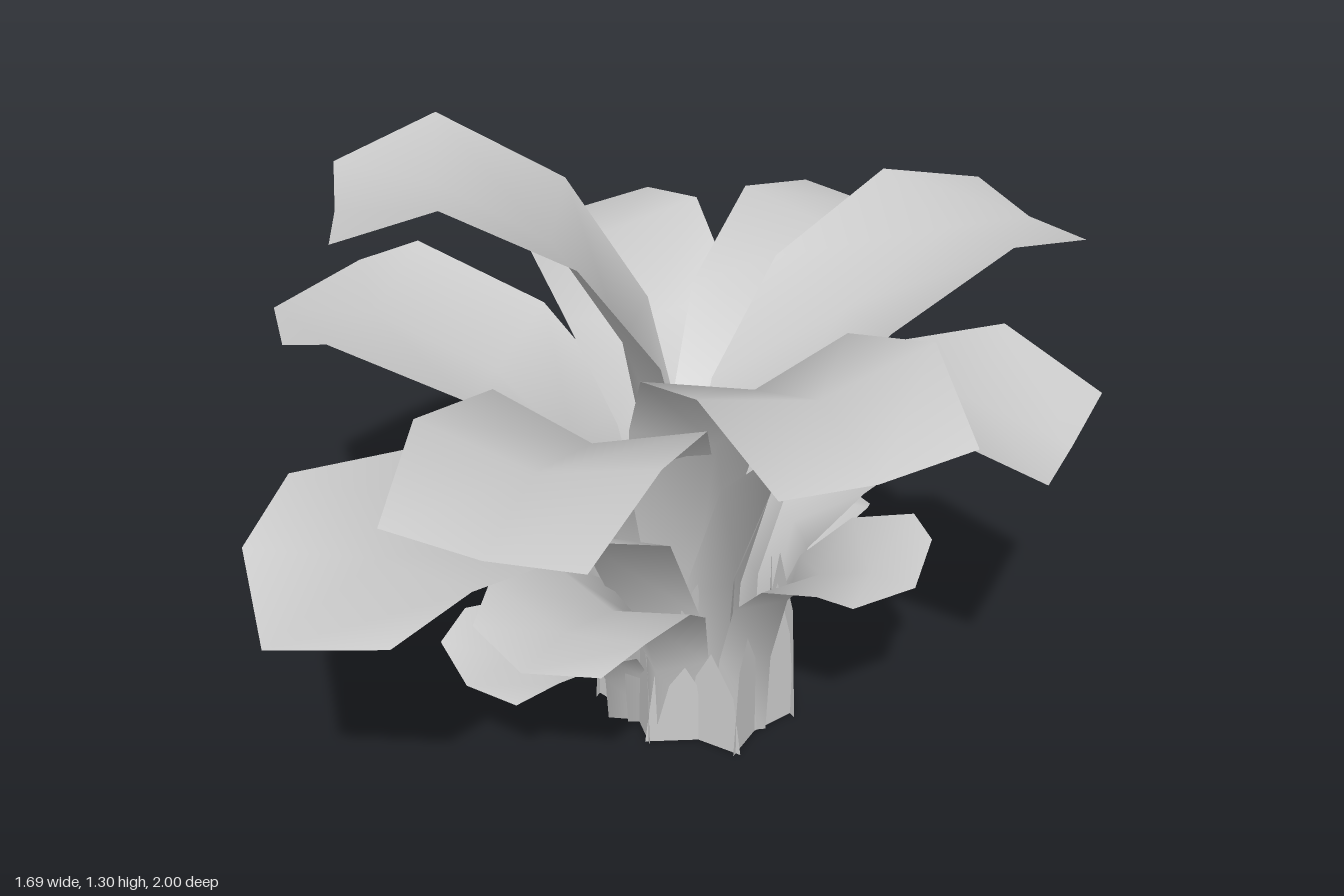
import * as THREE from 'three';

const material = new THREE.MeshStandardMaterial({ color: 0xcccccc, side: THREE.DoubleSide });

// Rows along a leaf: outward travel, height, width and edge lift, all as fractions
const ROWS = [
  [0.00, 0.00, 0.50, 1.5],
  [0.02, 0.38, 0.48, 1.3],
  [0.13, 0.70, 0.68, 1.0],
  [0.35, 0.89, 0.92, 0.85],
  [0.70, 1.00, 1.00, 0.75],
  [1.00, 1.00, 0.82, 0.3],
];

// One leaf: a folded stalk rising from the ground, arching into a broad blunt blade
function makeLeaf(name, [rootX, rootZ, tipX, tipZ, peakY, tipY, width, point]) {
  const out = new THREE.Vector3(tipX - rootX, 0, tipZ - rootZ);
  const reach = out.length();
  out.normalize();
  const up = new THREE.Vector3(0, 1, 0);
  const side = new THREE.Vector3().crossVectors(up, out);
  const path = ROWS.map(([t, h], i) => new THREE.Vector3(rootX, 0, rootZ)
    .addScaledVector(out, t * reach)
    .setY(i === ROWS.length - 1 ? tipY : h * peakY));

  const positions = [], indices = [];
  path.forEach((p, i) => {
    const tangent = path[Math.min(i + 1, path.length - 1)].clone()
      .sub(path[Math.max(i - 1, 0)]).normalize();
    const normal = new THREE.Vector3().crossVectors(tangent, side);
    const last = i === path.length - 1;
    for (const u of [-1, 0, 1]) {
      const v = p.clone().addScaledVector(side, u * width * ROWS[i][2] / 2);
      v.addScaledVector(normal, Math.abs(u) * ROWS[i][3] * width * 0.16);
      if (last && u !== 0) v.addScaledVector(tangent, -point);
      v.y = i === 0 ? 0 : v.y;
      positions.push(v.x, v.y, v.z);
    }
    if (last) return;
    for (let k = 0; k < 2; k++) {
      const a = i * 3 + k;
      indices.push(a, a + 1, a + 3, a + 1, a + 4, a + 3);
    }
  });

  const geometry = new THREE.BufferGeometry();
  geometry.setAttribute('position', new THREE.Float32BufferAttribute(positions, 3));
  geometry.setIndex(indices);
  geometry.computeVertexNormals();
  const mesh = new THREE.Mesh(geometry, material);
  mesh.name = name;
  return mesh;
}

// Leaf tiers: [rootX, rootZ, tipX, tipZ, peakY, tipY, width, tip point]
const TIERS = {
  crownLeaf: [
    [-0.05, -0.06, -0.46, 0.42, 1.25, 1.20, 0.42, 0],
    [0.11, 0.01, 0.78, 0.28, 1.13, 1.09, 0.46, 0],
    [0.00, 0.05, 0.32, 0.76, 0.98, 0.95, 0.47, 0],
    [0.09, -0.13, 0.25, -0.87, 1.00, 0.96, 0.42, 0],
  ],
  middleLeaf: [
    [0.01, -0.20, -0.21, -0.94, 0.84, 0.79, 0.46, 0],
    [0.14, -0.08, 0.78, -0.30, 0.94, 0.89, 0.42, 0],
    [0.00, 0.10, -0.01, 1.00, 0.77, 0.71, 0.52, 0.13],
    [-0.14, -0.02, -0.84, 0.32, 0.82, 0.79, 0.46, 0.12],
    [-0.11, -0.19, -0.73, -0.48, 0.81, 0.77, 0.42, 0],
  ],
  lowerLeaf: [
    [0.09, 0.10, 0.19, 0.57, 0.52, 0.52, 0.36, 0.05],
    [0.23, -0.09, 0.57, -0.13, 0.53, 0.54, 0.35, 0.05],
    [0.10, -0.25, 0.18, -0.63, 0.55, 0.58, 0.35, 0.05],
    [-0.19, -0.12, -0.57, -0.17, 0.52, 0.52, 0.35, 0.05],
    [-0.13, 0.06, -0.43, 0.39, 0.51, 0.51, 0.36, 0.05],
  ],
  bottomLeaf: [
    [-0.04, 0.12, -0.08, 0.48, 0.29, 0.28, 0.32, 0.03],
    [-0.21, -0.12, -0.56, -0.20, 0.33, 0.31, 0.32, 0.05],
    [0.02, -0.27, 0.01, -0.57, 0.32, 0.31, 0.31, 0.05],
  ],
};

// Split dry sheaths set in a zigzag ring round the foot of the plant
function makeSheath(index, count) {
  const angle = index / count * Math.PI * 2;
  const wobble = Math.sin(index * 5.3);
  const height = 0.32 + 0.08 * wobble;
  const shape = new THREE.Shape();
  shape.moveTo(-0.065, 0);
  shape.lineTo(0.065, 0);
  shape.lineTo(0.045, height * 0.6);
  shape.lineTo(0.01 * wobble, height);
  shape.lineTo(-0.045, height * 0.7);
  const mesh = new THREE.Mesh(new THREE.ShapeGeometry(shape), material);
  mesh.position.set(0.03 + Math.sin(angle) * 0.2, 0, -0.075 + Math.cos(angle) * 0.165);
  mesh.rotation.y = angle + (index % 2 ? 0.5 : -0.5) + 0.15 * wobble;
  mesh.name = `sheath${index + 1}`;
  return mesh;
}

export function createModel() {
  const plant = new THREE.Group();
  plant.name = 'leafyPlant';
  for (const [name, leaves] of Object.entries(TIERS)) {
    const tier = new THREE.Group();
    tier.name = `${name}Tier`;
    leaves.forEach((leaf, i) => tier.add(makeLeaf(`${name}${i + 1}`, leaf)));
    plant.add(tier);
  }
  const foot = new THREE.Group();
  foot.name = 'sheathRing';
  for (let i = 0; i < 14; i++) foot.add(makeSheath(i, 14));
  plant.add(foot);
  return plant;
}
